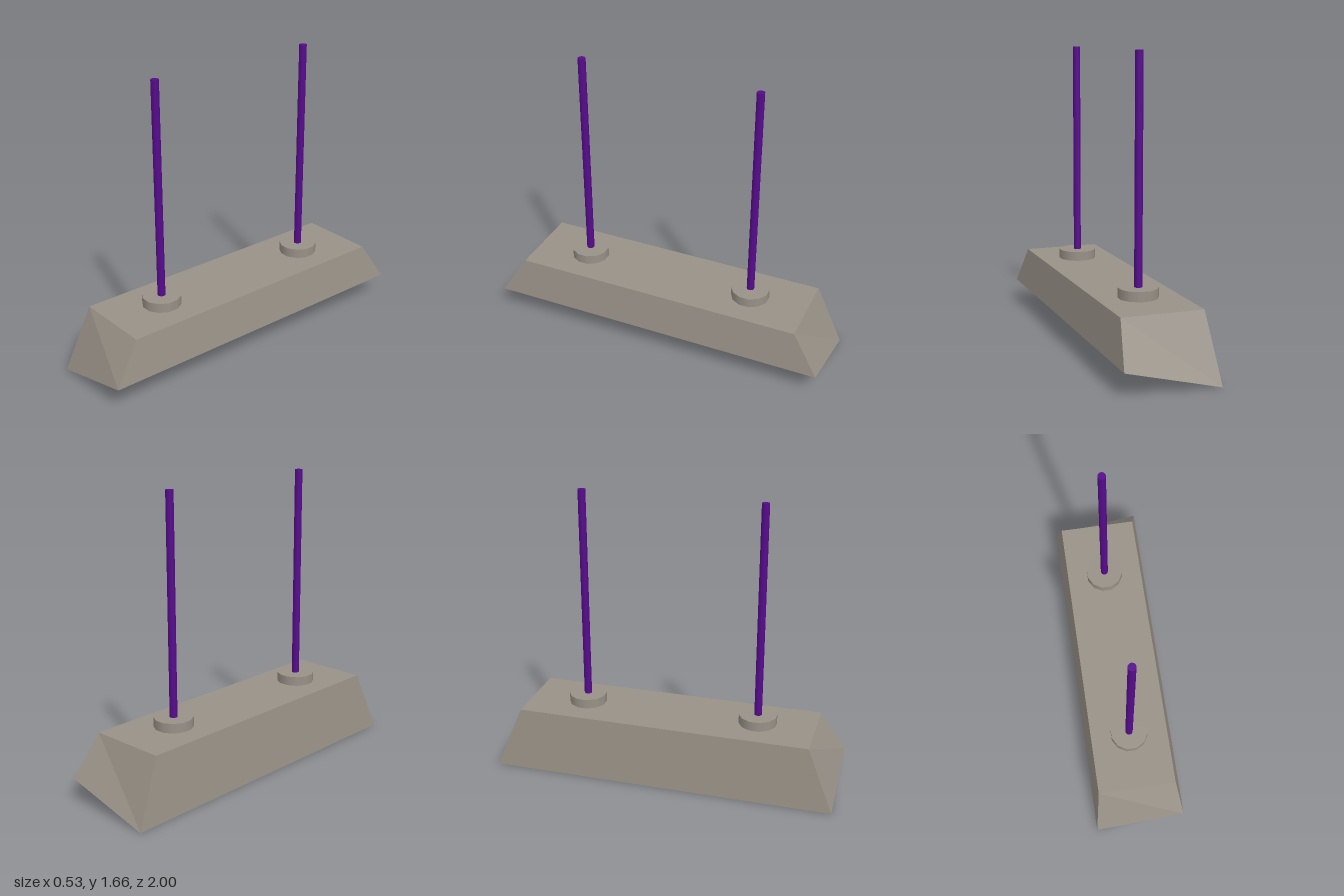
import * as THREE from 'three';

const SLOPE = 0.133 / 0.526;              // underside rises towards +x
const TILT = Math.atan(SLOPE);
const underY = (x) => (x + 0.263) * SLOPE;

// point on the slanted underside, pushed `depth` into the housing
const inset = (x, depth) => [x - Math.sin(TILT) * depth, underY(x) + Math.cos(TILT) * depth];

// ring of four corners from its right/left (x, y) points and half length in z
const ring = ([x1, y1], [x0, y0], z) => [[x1, y1, z], [x1, y1, -z], [x0, y0, -z], [x0, y0, z]];

// closed flat-faced skin through a list of four-corner rings
function skin(rings) {
  const pos = [];
  const quad = (a, b, c, d) => pos.push(...a, ...b, ...c, ...a, ...c, ...d);
  quad(...rings[0]);
  for (let r = 0; r < rings.length - 1; r++) {
    for (let i = 0; i < 4; i++) {
      const j = (i + 1) % 4;
      quad(rings[r][i], rings[r + 1][i], rings[r + 1][j], rings[r][j]);
    }
  }
  quad(...[...rings[rings.length - 1]].reverse());
  const geo = new THREE.BufferGeometry();
  geo.setAttribute('position', new THREE.Float32BufferAttribute(pos, 3));
  geo.computeVertexNormals();
  return geo;
}

export function createModel() {
  const group = new THREE.Group();
  const metal = new THREE.MeshStandardMaterial({ color: 0x989187 });
  const purple = new THREE.MeshStandardMaterial({ color: 0x560a8c });
  const glow = new THREE.MeshStandardMaterial({ color: 0xccd280 });

  const add = (name, geo, mat, x, y, z) => {
    const mesh = new THREE.Mesh(geo, mat);
    mesh.name = name;
    mesh.position.set(x, y, z);
    group.add(mesh);
    return mesh;
  };

  // tapered housing: top, lower rim, recess opening, recess floor
  const xr = 0.183, xl = -0.163, depth = 0.11;
  add('housing', skin([
    ring([0.227, 0.365], [-0.227, 0.365], 0.85),
    ring([0.263, underY(0.263)], [-0.263, 0], 1),
    ring(inset(xr, 0), inset(xl, 0), 0.9),
    ring(inset(xr, depth), inset(xl, depth), 0.9),
  ]), metal, 0, 0, 0);

  // three lamp tubes lying in the recess
  const tubeGeo = new THREE.CylinderGeometry(0.03, 0.03, 1.8, 12).rotateX(Math.PI / 2);
  for (const i of [-1, 0, 1]) {
    const [x, y] = inset(0.01 + i * 0.1, 0.04);
    add('lampTube', tubeGeo, glow, x, y, 0);
  }

  // ceiling mounts: collar and hanging rod
  const collarGeo = new THREE.CylinderGeometry(0.11, 0.11, 0.055, 12).rotateY(Math.PI / 12);
  const rodGeo = new THREE.CylinderGeometry(0.022, 0.022, 1.245, 12);
  for (const z of [0.52, -0.51]) {
    add('collar', collarGeo, metal, 0, 0.3925, z);
    add('hangingRod', rodGeo, purple, 0, 1.0375, z);
  }
  return group;
}
